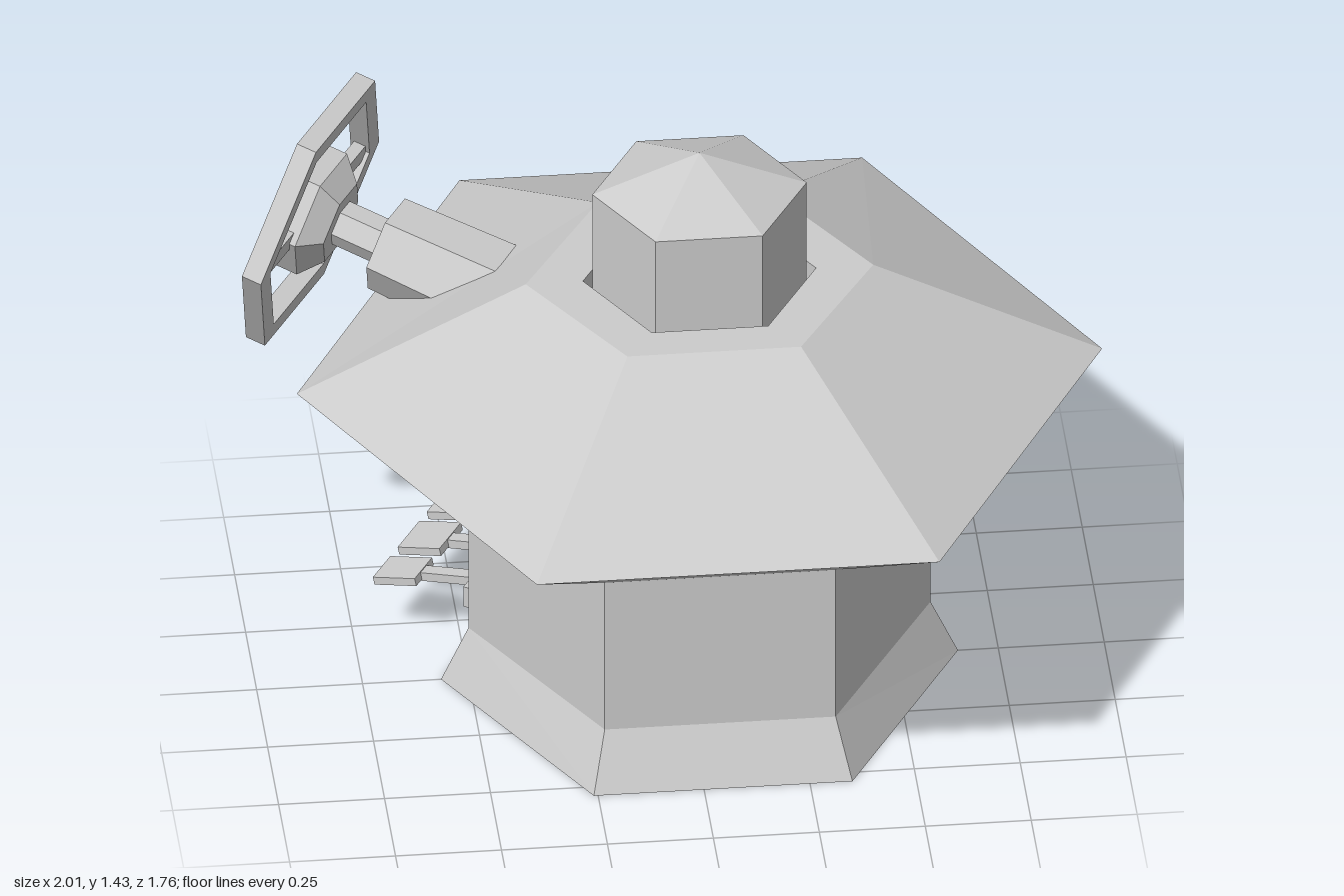
import * as THREE from 'three';

const mat = new THREE.MeshStandardMaterial({ color: 0xcccccc, flatShading: true });

function add(parent, name, geometry, x = 0, y = 0, z = 0) {
  const mesh = new THREE.Mesh(geometry, mat);
  mesh.name = name;
  mesh.position.set(x, y, z);
  parent.add(mesh);
  return mesh;
}

// Six-sided loft with corners on the x axis; rows are [radius, y, depth stretch]
function hexLoft(rows) {
  const pts = rows.map(([r, y]) => new THREE.Vector2(r, y));
  const geo = new THREE.LatheGeometry(pts, 6, Math.PI / 2);
  const pos = geo.attributes.position;
  for (let i = 0; i < pos.count; i++) {
    pos.setZ(i, pos.getZ(i) * (rows[i % rows.length][2] ?? 1));
  }
  return geo.toNonIndexed();
}

// Six-sided prism or frustum along z, from z0 (radius r0) to z1 (radius r1)
function hexBar(r0, r1, z0, z1) {
  return new THREE.CylinderGeometry(r1, r0, z1 - z0, 6, 1, false, Math.PI / 2)
    .rotateX(Math.PI / 2).translate(0, 0, (z0 + z1) / 2);
}

function hexPoints(r) {
  return Array.from({ length: 6 }, (_, i) =>
    new THREE.Vector2(r * Math.cos(i * Math.PI / 3), r * Math.sin(i * Math.PI / 3)));
}

export function createModel() {
  const model = new THREE.Group();
  model.name = 'hexagonalConsole';
  const body = new THREE.Group();
  body.name = 'console';
  body.position.x = 0.045;
  model.add(body);

  // Flared foot, pedestal, sloping panels and the recess round the column
  add(body, 'consoleBody', hexLoft([
    [0, 0], [0.61, 0, 1.02], [0.545, 0.14], [0.545, 0.55], [0.95, 0.82, 1.07],
    [0.41, 1.09, 0.945], [0.275, 1.09], [0.275, 1.0], [0, 1.0],
  ]));

  // Central column with a pointed cap
  add(body, 'centralColumn', hexLoft([[0.253, 1.0], [0.253, 1.33], [0, 1.43]]));

  // Everything on the back right panel; local +z points out of that panel
  const side = new THREE.Group();
  side.name = 'drivingControls';
  side.rotation.y = -2 * Math.PI / 3;
  body.add(side);

  // Steering wheel, tilted upwards
  const wheel = new THREE.Group();
  wheel.name = 'steeringWheel';
  wheel.position.set(0, 1.01, 1.0);
  wheel.rotation.x = -0.225;
  side.add(wheel);

  const rim = new THREE.Shape(hexPoints(0.34));
  rim.holes.push(new THREE.Path(hexPoints(0.285).reverse()));
  add(wheel, 'wheelRim', new THREE.ExtrudeGeometry(rim, { depth: 0.05, bevelEnabled: false }), 0, 0, -0.025);
  add(wheel, 'wheelHub', hexBar(0.155, 0.155, -0.03, 0.035));
  add(wheel, 'wheelHubBack', hexBar(0.1, 0.155, -0.08, -0.03));
  for (const s of [-1, 1]) {
    add(wheel, 'wheelSpoke', new THREE.BoxGeometry(0.18, 0.05, 0.03), s * 0.215, 0, 0);
  }
  add(wheel, 'steeringNeck', hexBar(0.055, 0.055, -0.22, -0.07));
  add(wheel, 'steeringHousing', hexBar(0.125, 0.115, -0.56, -0.2));

  // Pedal rail with three arms and foot pads
  add(side, 'pedalRail', new THREE.BoxGeometry(0.48, 0.055, 0.04), 0, 0.2, 0.48);
  for (const x of [-0.155, 0, 0.155]) {
    const pedal = new THREE.Group();
    pedal.name = 'pedal';
    pedal.position.set(x, 0.205, 0.48);
    pedal.rotation.x = 0.16;
    side.add(pedal);
    add(pedal, 'pedalArm', new THREE.BoxGeometry(0.035, 0.022, 0.2), 0, 0, 0.1);
    const pad = add(pedal, 'pedalPad',
      new THREE.BoxGeometry(x === 0 ? 0.125 : 0.1, 0.02, 0.11), 0, 0, 0.215);
    pad.rotation.x = 0.06;
  }

  return model;
}
